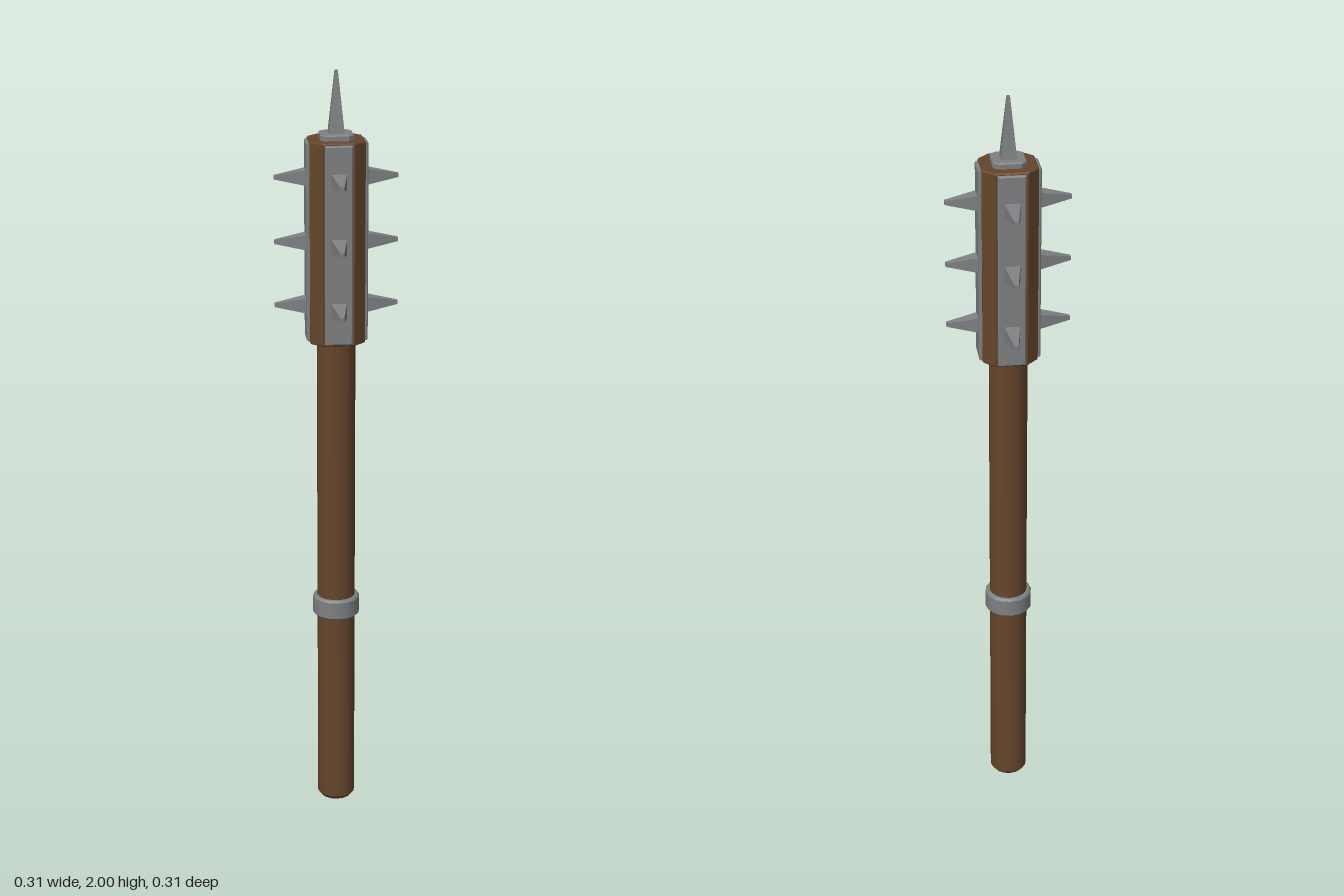
import * as THREE from 'three';
import { toCreasedNormals } from 'three/addons/utils/BufferGeometryUtils.js';

const wood = new THREE.MeshStandardMaterial({ name: 'brown wood', color: 0x65452b });
const steel = new THREE.MeshStandardMaterial({ name: 'grey steel', color: 0x7e8082 });

function part(name, geometry, material, parent) {
  const mesh = new THREE.Mesh(geometry, material);
  mesh.name = name;
  parent.add(mesh);
  return mesh;
}

// Turned part from [radius, height] pairs
function turned(points, sides) {
  return toCreasedNormals(new THREE.LatheGeometry(points.map(p => new THREE.Vector2(...p)), sides), 0.6);
}

// Bevelled slab along +z; outline is a rectangle with cut corners
function slab(halfW, halfH, cut, depth, bevel) {
  const w = halfW - bevel, h = halfH - bevel;
  const corners = cut > 0
    ? [[w, -h + cut], [w, h - cut], [w - cut, h], [-w + cut, h], [-w, h - cut], [-w, -h + cut], [-w + cut, -h], [w - cut, -h]]
    : [[w, -h], [w, h], [-w, h], [-w, -h]];
  const geometry = new THREE.ExtrudeGeometry(new THREE.Shape(corners.map(c => new THREE.Vector2(...c))), {
    depth: depth - 2 * bevel, bevelEnabled: true, bevelSize: bevel, bevelThickness: bevel, bevelSegments: 1,
  });
  return geometry.translate(0, 0, bevel);
}

// Square spike with a blunt tip, pointing up from y = 0
function spike(base, tip, length) {
  const geometry = new THREE.CylinderGeometry(tip * Math.SQRT2, base * Math.SQRT2, length, 4);
  return toCreasedNormals(geometry.rotateY(Math.PI / 4).translate(0, length / 2, 0), 0.3);
}

export function createModel() {
  const model = new THREE.Group();
  model.name = 'spikedClub';

  // Handle and its collar
  part('handle', turned([[0, 0], [0.042, 0], [0.05, 0.01], [0.05, 1.32], [0, 1.32]], 16), wood, model);
  part('collar', turned([[0.049, 0.545], [0.057, 0.545], [0.062, 0.55], [0.062, 0.595],
    [0.057, 0.6], [0.049, 0.6]], 16), steel, model);

  // Eight-sided wooden head
  const head = slab(0.07, 0.07, 0.027, 0.52, 0.003).rotateX(-Math.PI / 2);
  part('head', head, wood, model).position.y = 1.31;

  // Top cap and top spike
  const cap = slab(0.042, 0.042, 0.012, 0.02, 0.003).rotateX(-Math.PI / 2);
  part('topCap', cap, steel, model).position.y = 1.825;
  part('topSpike', spike(0.02, 0.004, 0.16), steel, model).position.y = 1.84;

  // Studded plate on each of the four faces
  const plateGeometry = slab(0.035, 0.255, 0, 0.012, 0.003);
  const spikeGeometry = spike(0.02, 0.005, 0.081).rotateX(Math.PI / 2);
  for (let i = 0; i < 4; i++) {
    const side = new THREE.Group();
    side.name = 'spikedPlate' + (i + 1);
    side.rotation.y = i * Math.PI / 2;
    part('plate', plateGeometry, steel, side).position.set(0, 1.57, 0.066);
    for (const y of [1.405, 1.57, 1.735]) {
      part('sideSpike', spikeGeometry, steel, side).position.set(0, y, 0.076);
    }
    model.add(side);
  }
  return model;
}
